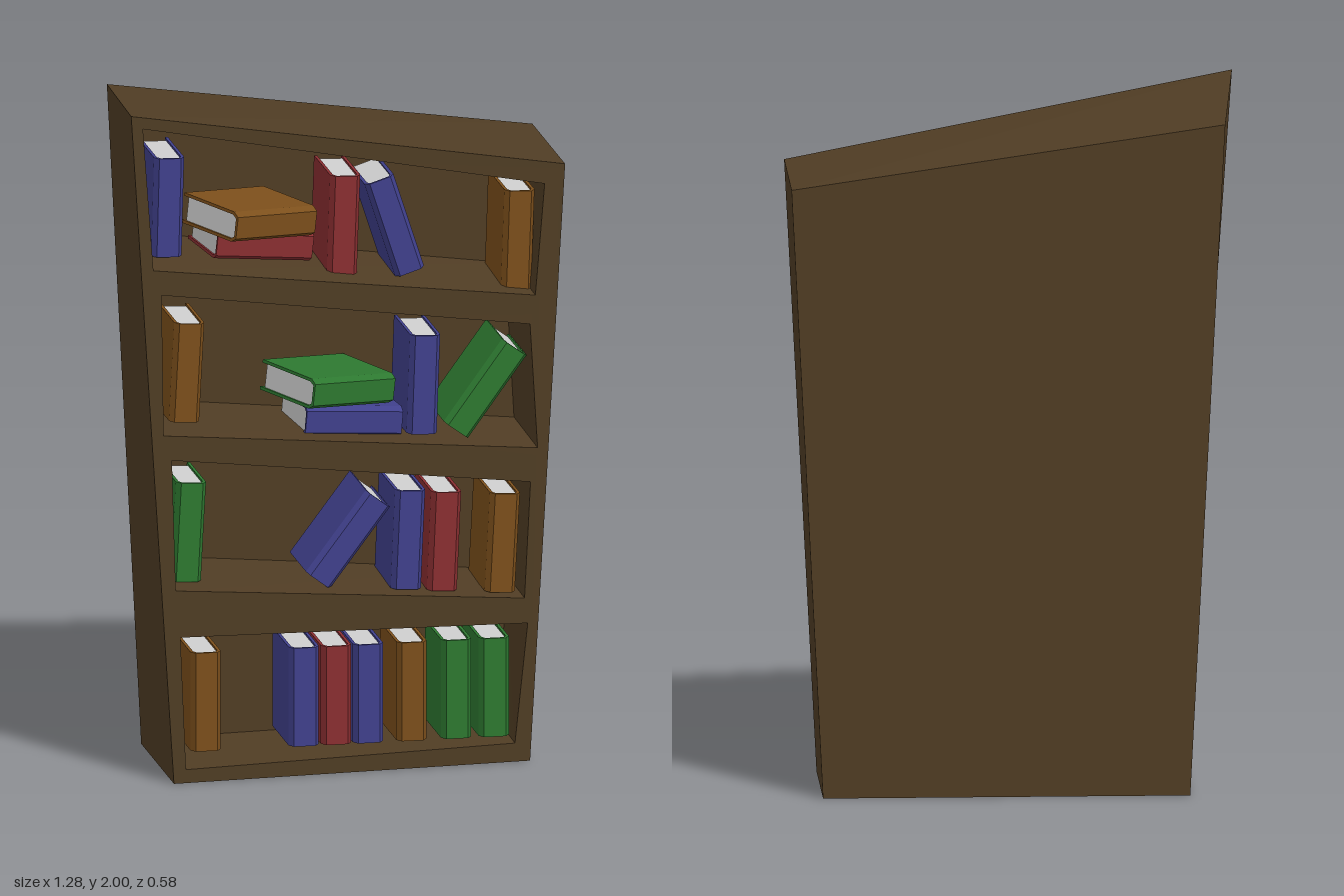
import * as THREE from 'three';

const mat = (name, color) => {
  const m = new THREE.MeshStandardMaterial({ color });
  m.name = name;
  return m;
};

// depth of the slanted front plane at a point
const frontZ = (x, y) => 0.1514 - 0.0571 * x + 0.0413 * y - 0.0071 * x * y;
const onFront = ([x, y]) => [x, y, frontZ(x, y)];

// non-indexed geometry from four-cornered faces, counter-clockwise
function quads(list) {
  const pos = [];
  for (const [a, b, c, d] of list) pos.push(...a, ...b, ...c, ...a, ...c, ...d);
  const g = new THREE.BufferGeometry();
  g.setAttribute('position', new THREE.Float32BufferAttribute(pos, 3));
  g.computeVertexNormals();
  return g;
}

export function createModel() {
  const model = new THREE.Group();
  model.name = 'crookedBookcase';
  const wood = mat('dark wood', 0x503d24);
  const pages = mat('paper', 0xcfcfcf);
  const covers = {
    blue: mat('blue cover', 0x40408c),
    red: mat('red cover', 0x8a2e31),
    orange: mat('orange cover', 0x7c4f1b),
    green: mat('green cover', 0x2d7830),
  };
  const add = (parent, name, geometry, material) => {
    const mesh = new THREE.Mesh(geometry, material);
    mesh.name = name;
    parent.add(mesh);
    return mesh;
  };

  // corner order everywhere: top left, bottom left, bottom right, top right
  const outer = [[-0.645, 2], [-0.5, 0], [0.55, 0], [0.64, 1.77]];
  const outerBack = [[-0.6, 1.95, -0.29], [-0.5, 0, -0.29], [0.55, 0, -0.29], [0.64, 1.77, -0.29]];
  const openings = [
    [[-0.485, 0.435], [-0.465, 0.04], [0.505, 0.055], [0.54, 0.41]],
    [[-0.515, 0.965], [-0.5, 0.575], [0.53, 0.485], [0.545, 0.83]],
    [[-0.55, 1.46], [-0.54, 1.04], [0.565, 0.93], [0.54, 1.3]],
    [[-0.61, 1.96], [-0.575, 1.535], [0.555, 1.385], [0.58, 1.715]],
  ];

  // outer shell: four sides and the back
  const f = outer.map(onFront), b = outerBack;
  const shell = f.map((p, i) => {
    const j = (i + 1) % 4;
    return [f[j], f[i], b[i], b[j]];
  });
  shell.push([b[0], b[3], b[2], b[1]]);
  add(model, 'caseShell', quads(shell), wood);

  // front frame with four crooked openings
  const toPoints = (c) => c.map(([x, y]) => new THREE.Vector2(x, y));
  const frameShape = new THREE.Shape(toPoints(outer));
  openings.forEach((o) => frameShape.holes.push(new THREE.Path(toPoints(o))));
  const frame = new THREE.ShapeGeometry(frameShape);
  const p = frame.attributes.position;
  for (let i = 0; i < p.count; i++) p.setZ(i, frontZ(p.getX(i), p.getY(i)));
  frame.computeVertexNormals();
  add(model, 'frontFrame', frame, wood);

  // shelf compartments
  const inset = [[0.025, -0.025], [0.02, 0.01], [-0.005, 0.012], [0, -0.005]];
  openings.forEach((o, n) => {
    const nf = o.map(onFront);
    const nb = o.map(([x, y], i) => [x + inset[i][0], y + inset[i][1], -0.16]);
    const walls = nf.map((q, i) => {
      const j = (i + 1) % 4;
      return [nf[i], nf[j], nb[j], nb[i]];
    });
    walls.push([nb[1], nb[2], nb[3], nb[0]]);
    add(model, 'compartment' + (n + 1), quads(walls), wood);
  });

  // book: folded cover with a bevelled spine towards +z, and a page block
  const W = 0.088, H = 0.29, D = 0.25, T = 0.009;
  const w = W / 2, d = D / 2;
  const profile = new THREE.Shape(toPoints([
    [-w, d], [-w, -d + 0.02], [-w * 0.72, -d], [w * 0.72, -d], [w, -d + 0.02], [w, d],
    [w - T, d], [w - T, -d + 0.024], [w * 0.6, -d + T], [-w * 0.6, -d + T], [T - w, -d + 0.024], [T - w, d],
  ]));
  const coverGeo = new THREE.ExtrudeGeometry(profile, { depth: H, bevelEnabled: false });
  coverGeo.translate(0, 0, -H / 2).rotateX(-Math.PI / 2);
  const pageGeo = new THREE.BoxGeometry(W - 2 * T, H - 0.012, D - 0.03);

  function book(color, x, y, z, tilt, yaw = 0, flat = false) {
    const group = new THREE.Group();
    group.name = color + (flat ? 'LyingBook' : 'Book');
    group.position.set(x, y, z);
    group.rotation.set(0, THREE.MathUtils.degToRad(yaw), THREE.MathUtils.degToRad(tilt), 'ZYX');
    const body = new THREE.Group();
    body.name = 'bookBody';
    if (flat) body.rotation.z = Math.PI / 2;
    add(body, 'cover', coverGeo, covers[color]);
    add(body, 'pageBlock', pageGeo, pages);
    group.add(body);
    model.add(group);
  }

  // standing and leaning books: colour, x, y, tilt in degrees
  const standing = [
    ['orange', -0.39, 0.218, 0], ['blue', -0.104, 0.218, 0], ['red', -0.01, 0.218, 0],
    ['blue', 0.083, 0.218, 0], ['orange', 0.21, 0.218, 0], ['green', 0.34, 0.218, 0], ['green', 0.45, 0.218, 0],
    ['green', -0.44, 0.72, -3], ['blue', 0.025, 0.672, -37], ['blue', 0.2, 0.665, -2.5],
    ['red', 0.305, 0.655, -2.5], ['orange', 0.475, 0.642, -3],
    ['orange', -0.445, 1.19, -3], ['blue', 0.245, 1.12, -2], ['green', 0.425, 1.097, -36],
    ['blue', -0.5, 1.68, -1.5], ['red', 0.012, 1.602, -2], ['blue', 0.16, 1.592, 18], ['orange', 0.52, 1.533, -2],
  ];
  for (const [color, x, y, tilt] of standing) book(color, x, y, -0.015, tilt);

  // stacked lying books, the upper ones turned outwards
  book('blue', 0.025, 1.022, -0.015, -5, 7, true);
  book('green', -0.02, 1.122, 0.025, -6, 26, true);
  book('red', -0.235, 1.555, -0.015, -6, 7, true);
  book('orange', -0.267, 1.65, 0.115, -6, 27, true);

  return model;
}
